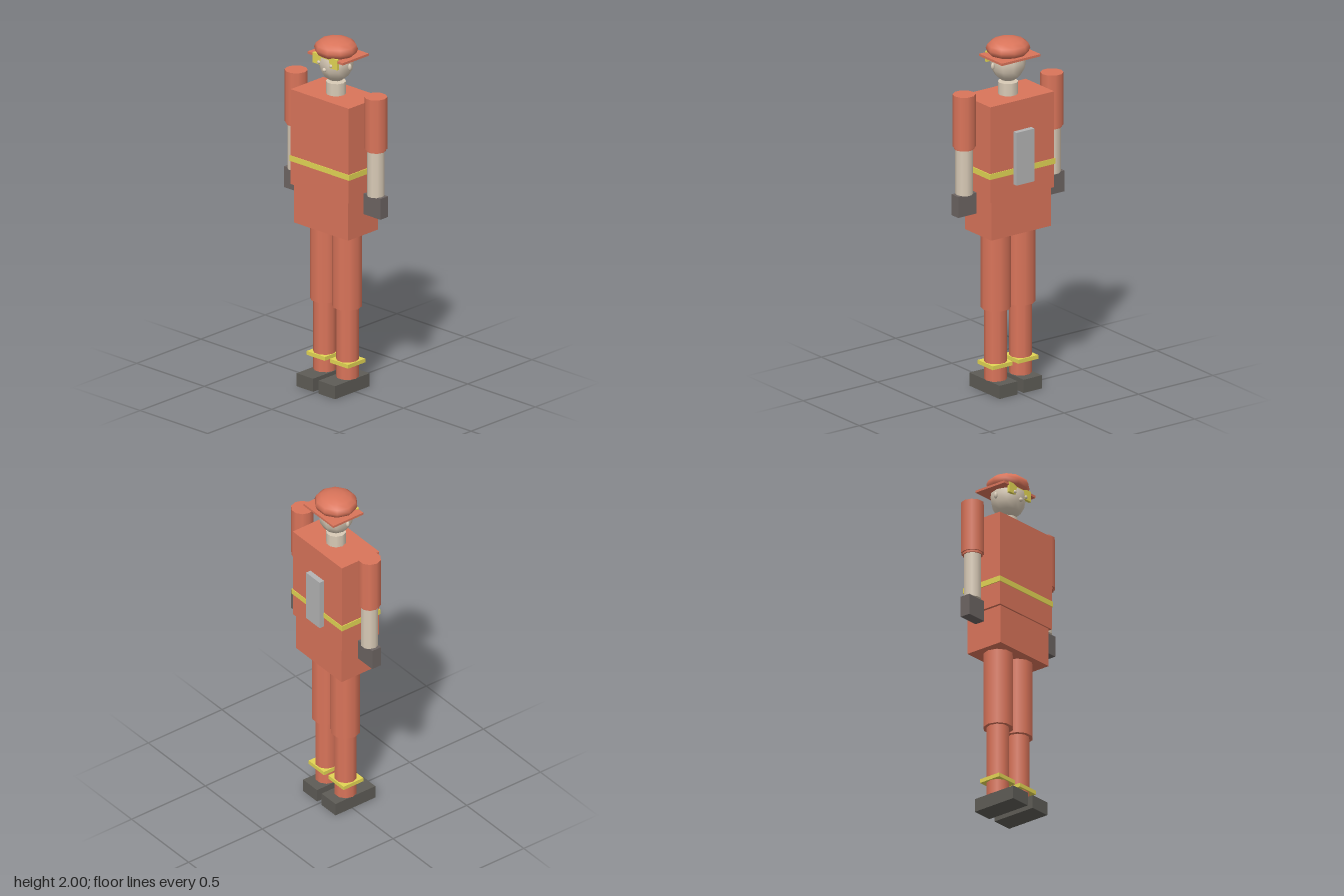
import * as THREE from 'three';

const mat = (color) => new THREE.MeshStandardMaterial({ color });

export function createModel() {
  const model = new THREE.Group();
  const suit = mat(0xd9745a), skin = mat(0xd8cab6), yellow = mat(0xe2d554);
  const boot = mat(0x5e5c56), glove = mat(0x6c6462), grey = mat(0xb4b4b4);

  const add = (name, geometry, material, x, y, z) => {
    const mesh = new THREE.Mesh(geometry, material);
    mesh.name = name;
    mesh.position.set(x, y, z);
    model.add(mesh);
    return mesh;
  };
  // box between two heights
  const box = (name, m, w, d, y0, y1, x = 0, z = 0) =>
    add(name, new THREE.BoxGeometry(w, y1 - y0, d), m, x, (y0 + y1) / 2, z);
  // ten-sided upright cylinder with a corner on the x axis
  const tube = (name, m, r, y0, y1, x = 0) =>
    add(name, new THREE.CylinderGeometry(r, r, y1 - y0, 10).rotateY(Math.PI / 2), m, x, (y0 + y1) / 2, 0);
  const ball = (name, m, rx, ry, rz, x, y, z) =>
    add(name, new THREE.SphereGeometry(1, 10, 8).scale(rx, ry, rz), m, x, y, z);

  // body
  box('torso', suit, 0.43, 0.254, 1.135, 1.68);
  box('waistBand', yellow, 0.44, 0.26, 1.268, 1.3);
  box('pelvis', suit, 0.4, 0.234, 0.915, 1.135);
  box('backPack', grey, 0.12, 0.03, 1.21, 1.51, 0, -0.142);

  // head
  tube('neck', skin, 0.055, 1.68, 1.75);
  ball('head', skin, 0.097, 0.115, 0.097, 0, 1.867, 0);
  ball('nose', skin, 0.012, 0.012, 0.012, 0, 1.837, 0.09);
  box('goggles', yellow, 0.18, 0.016, 1.856, 1.915, 0, 0.079);
  ball('hatDome', suit, 0.122, 0.06, 0.116, 0, 1.94, 0);
  box('hatBrim', suit, 0.26, 0.203, 1.895, 1.908, 0, -0.017);

  for (const s of [-1, 1]) {
    const side = s > 0 ? 'left' : 'right';
    ball(side + 'Eye', skin, 0.011, 0.011, 0.011, s * 0.045, 1.869, 0.085);
    ball(side + 'Ear', skin, 0.011, 0.019, 0.01, s * 0.102, 1.855, 0);

    // arm
    tube(side + 'UpperArm', suit, 0.0625, 1.44, 1.737, s * 0.295);
    tube(side + 'SleeveCuff', suit, 0.055, 1.428, 1.44, s * 0.295);
    tube(side + 'Forearm', skin, 0.048, 1.17, 1.428, s * 0.295);
    box(side + 'Hand', glove, 0.124, 0.06, 1.053, 1.172, s * 0.295);

    // leg
    tube(side + 'Thigh', suit, 0.082, 0.48, 0.915, s * 0.082);
    tube(side + 'Shin', suit, 0.062, 0.075, 0.48, s * 0.084);
    box(side + 'AnkleBand', yellow, 0.134, 0.134, 0.153, 0.175, s * 0.086);
    box(side + 'Boot', boot, 0.122, 0.27, 0, 0.075, s * 0.081, 0.022);
  }
  return model;
}
